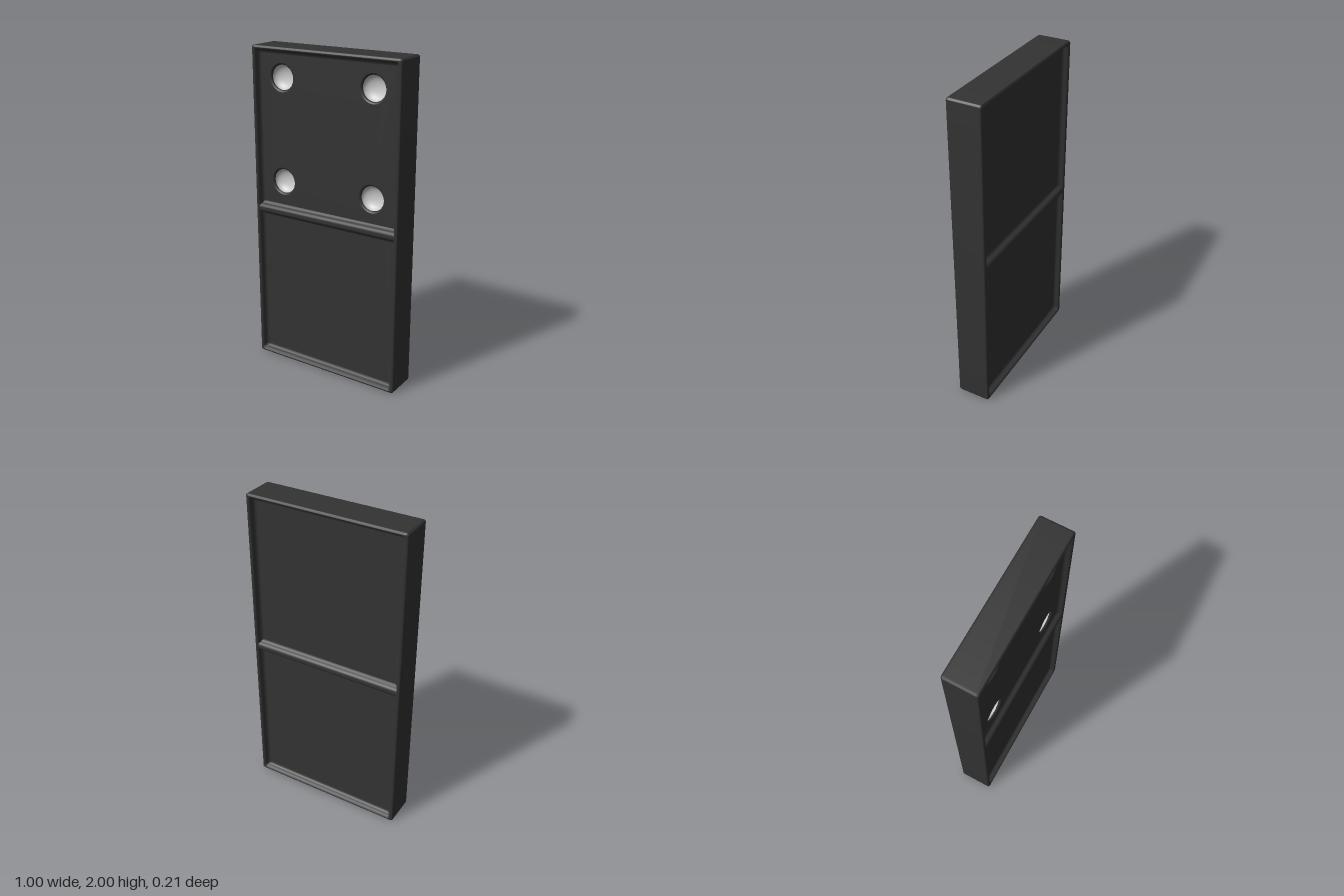
import * as THREE from 'three';
import { toCreasedNormals } from 'three/addons/utils/BufferGeometryUtils.js';

const W = 0.5, H = 1, FLOOR = 0.067, INSET = 0.045;
const dark = new THREE.MeshStandardMaterial({ color: 0x333333 });
const grey = new THREE.MeshStandardMaterial({ color: 0xcccccc });

// Rounded rectangle loop, counter-clockwise, with support points beside the corners
function ring(inset) {
  const r = 0.012, e = 0.006, pts = [];
  const w = W - inset - r, h = H - inset - r;
  [[1, 1], [-1, 1], [-1, -1], [1, -1]].forEach(([sx, sy], k) => {
    const at = (t, back) => {
      const a = (k + t) * Math.PI / 2, c = Math.cos(a), s = Math.sin(a);
      pts.push([sx * w + r * c + back * s, sy * h + r * s - back * c + H]);
    };
    at(0, e);
    for (let i = 0; i <= 4; i++) at(i / 4, 0);
    at(1, -e);
  });
  return pts;
}

// Skin through the side and rim profile, from the back floor to the front floor
function shellGeometry() {
  const half = [[0, 0.088], [0, 0.095], [0.002, 0.1], [0.005, 0.103], [0.01, 0.105],
    [0.014, 0.105], [0.018, 0.103], [0.022, 0.098], [0.027, 0.084], [0.031, 0.074],
    [0.037, 0.069], [INSET, FLOOR]];
  const profile = [...half.map(([i, z]) => [i, -z]).reverse(), ...half];
  const pos = [], index = [];
  profile.forEach(([inset, z]) => ring(inset).forEach(([x, y]) => pos.push(x, y, z)));
  const n = ring(0).length;
  for (let i = 0; i < profile.length - 1; i++) {
    for (let j = 0; j < n; j++) {
      const a = i * n + j, b = i * n + (j + 1) % n;
      index.push(a, b, b + n, a, b + n, a + n);
    }
  }
  const g = new THREE.BufferGeometry();
  g.setAttribute('position', new THREE.Float32BufferAttribute(pos, 3));
  g.setIndex(index);
  return toCreasedNormals(g, 0.9);
}

// Flat recessed face, with round holes where the pips sit
function floorGeometry(holes) {
  const shape = new THREE.Shape(ring(INSET).map(([x, y]) => new THREE.Vector2(x, y)));
  for (const [x, y] of holes) {
    shape.holes.push(new THREE.Path().absarc(x, y, 0.086, 0, Math.PI * 2, true));
  }
  return new THREE.ShapeGeometry(shape, 24);
}

// Rounded bar crossing both faces at mid height
function dividerGeometry() {
  const side = [[0.066, 0.045], [0.069, 0.038], [0.074, 0.031], [0.084, 0.027],
    [0.094, 0.021], [0.099, 0.014], [0.101, 0.006]];
  const front = [...side.map(([z, y]) => [z, -y]), ...side.slice().reverse()];
  const loop = [...front, ...front.map(([z, y]) => [-z, -y])];
  const shape = new THREE.Shape(loop.map(([z, y]) => new THREE.Vector2(z, y)));
  const g = new THREE.ExtrudeGeometry(shape, { depth: 0.964, bevelEnabled: false });
  g.translate(0, 0, -0.482);
  g.rotateY(Math.PI / 2);
  return toCreasedNormals(g, 0.9);
}

// Surface of revolution facing +z
function turned(points) {
  const g = new THREE.LatheGeometry(points.map(([r, z]) => new THREE.Vector2(r, z)), 48);
  return g.rotateX(Math.PI / 2);
}

export function createModel() {
  const model = new THREE.Group();
  model.name = 'dominoTile';
  const add = (name, geometry, material, x = 0, y = 0, z = 0) => {
    const mesh = new THREE.Mesh(geometry, material);
    mesh.name = name;
    mesh.position.set(x, y, z);
    model.add(mesh);
    return mesh;
  };

  const pips = [[-0.31, 1.82], [0.31, 1.82], [-0.31, 1.19], [0.31, 1.19]];

  add('shell', shellGeometry(), dark);
  add('frontFace', floorGeometry(pips), dark, 0, 0, FLOOR);
  add('backFace', floorGeometry([]), dark, 0, 0, -FLOOR).rotation.y = Math.PI;
  add('divider', dividerGeometry(), dark, 0, H, 0);

  // Pips: a softened dark lip around a shallow grey bowl
  const lip = turned([[0.086, 0], [0.081, -0.002], [0.077, -0.006], [0.074, -0.013]]);
  const bowlPoints = [];
  for (let i = 0; i <= 10; i++) {
    const a = (i / 10) * Math.PI / 2;
    bowlPoints.push([0.074 * Math.cos(a), -0.013 - 0.04 * Math.sin(a)]);
  }
  bowlPoints[10][0] = 0;
  const bowl = turned(bowlPoints);
  for (const [x, y] of pips) {
    add('pipLip', lip, dark, x, y, FLOOR);
    add('pipBowl', bowl, grey, x, y, FLOOR);
  }
  return model;
}
